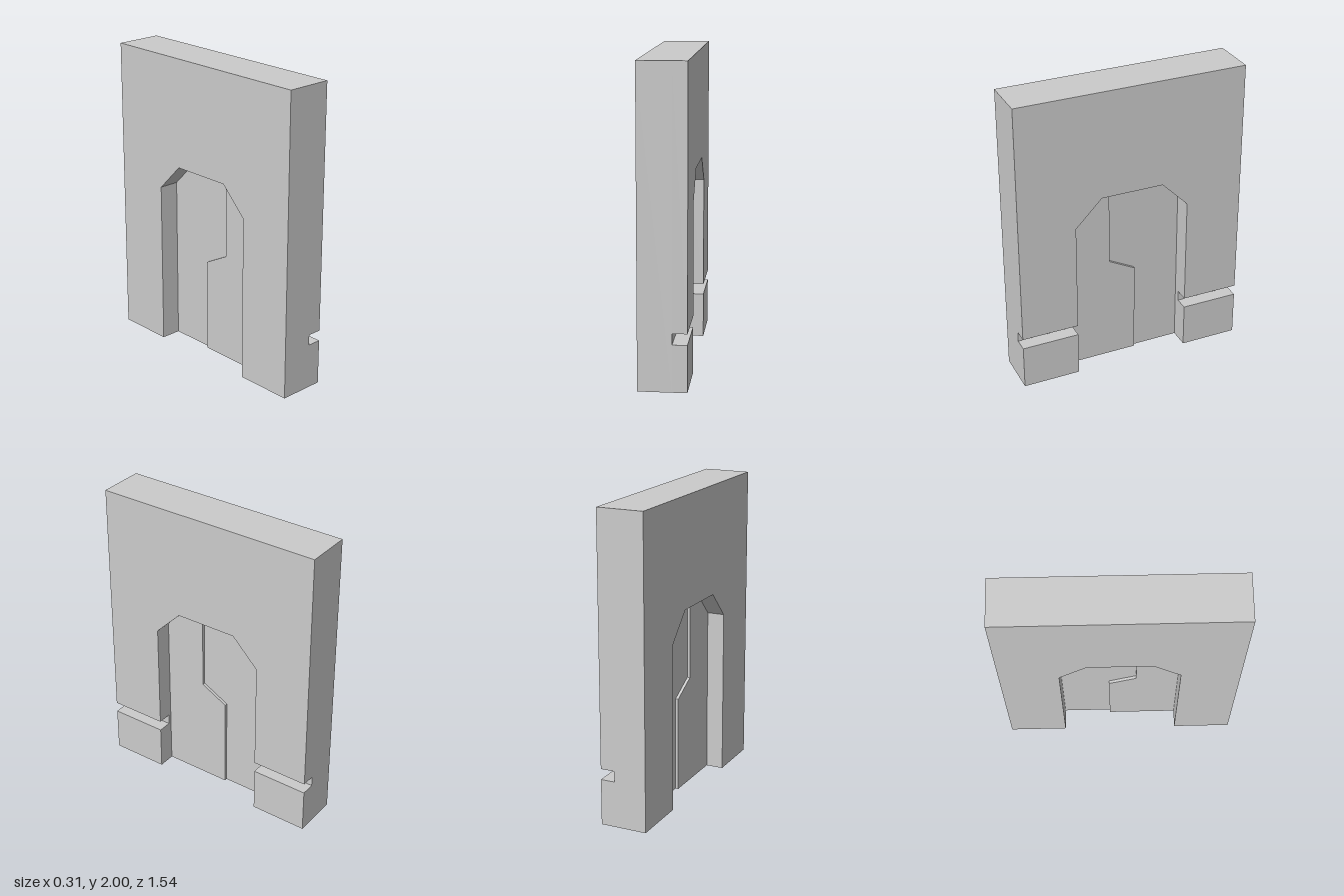
import * as THREE from 'three';
import { mergeGeometries } from 'three/addons/utils/BufferGeometryUtils.js';

// Outlines are [a, y] pairs, counter-clockwise as seen from +x, where a = -z.
const W = 0.772, TOP = 2, H = 0.153;        // wall half width, height, half thickness
const D = 0.388;                            // doorway half width
const G = 0.06, G0 = 0.30, G1 = 0.37;       // groove floor and its lower / upper edge
const THICK = 0.037, THIN = 0.018;          // door leaf half thicknesses

const toGeometry = (corners) => {
  const g = new THREE.BufferGeometry();
  g.setAttribute('position', new THREE.Float32BufferAttribute(
    corners.flatMap(([x, [a, y]]) => [x, y, -a]), 3));
  g.computeVertexNormals();
  return g;
};

// Flat filled outline in the plane x, facing +x (dir 1) or -x (dir -1)
function sheet(pts, x, dir) {
  const tris = THREE.ShapeUtils.triangulateShape(pts.map((p) => new THREE.Vector2(...p)), []);
  return toGeometry(tris.flatMap(([i, j, k]) =>
    (dir > 0 ? [i, j, k] : [i, k, j]).map((n) => [x, pts[n]])));
}

// Walls along a path between two x depths, facing away from the outline
function band(pts, x0, x1, closed) {
  const corners = [];
  const count = closed ? pts.length : pts.length - 1;
  for (let i = 0; i < count; i++) {
    const p = pts[i], q = pts[(i + 1) % pts.length];
    corners.push([x0, p], [x0, q], [x1, q], [x0, p], [x1, q], [x1, p]);
  }
  return toGeometry(corners);
}

const rect = (a0, a1, y0, y1) => [[a0, y0], [a1, y0], [a1, y1], [a0, y1]];

// Wall outline with the chamfered doorway, starting at height y0
const wallOutline = (y0) => [
  [-W, y0], [-D, y0], [-D, 1.10], [-0.21, 1.28], [0.21, 1.28], [D, 1.10],
  [D, y0], [W, y0], [W, TOP], [-W, TOP],
];

export function createModel() {
  const group = new THREE.Group();
  const material = new THREE.MeshStandardMaterial({ color: 0xcccccc });
  const add = (name, parts) => {
    const mesh = new THREE.Mesh(mergeGeometries(parts), material);
    mesh.name = name;
    group.add(mesh);
  };

  // Wall: full layer up to the groove floor, then raised panels around the groove
  const full = wallOutline(0);
  const wall = [sheet(full, -H, -1), band(full, -H, G, true)];
  const raised = [wallOutline(G1), rect(-W, -D, 0, G0), rect(D, W, 0, G0)];
  for (const panel of raised) wall.push(sheet(panel, H, 1), band(panel, G, H, true));
  for (const [a0, a1] of [[-W, -D], [D, W]]) wall.push(sheet(rect(a0, a1, G0, G1), G, 1));
  add('wall', wall);

  // Door leaves meet along a stepped joint; one leaf is thicker than the other
  const joint = [[0.07, 0], [0.07, 0.63], [-0.11, 0.725], [-0.11, 1.28]];
  const thick = [[-D, 0], ...joint, [-0.21, 1.28], [-D, 1.10]];
  const thin = [[D, 0], [D, 1.10], [0.21, 1.28], ...[...joint].reverse()];
  add('thickDoorLeaf', [
    sheet(thick, THICK, 1), sheet(thick, -THICK, -1),
    band(joint, THIN, THICK), band(joint, -THICK, -THIN),
    band([[-D, 0], joint[0]], -THICK, THICK),
  ]);
  add('thinDoorLeaf', [
    sheet(thin, THIN, 1), sheet(thin, -THIN, -1),
    band([joint[0], [D, 0]], -THIN, THIN),
  ]);

  return group;
}
